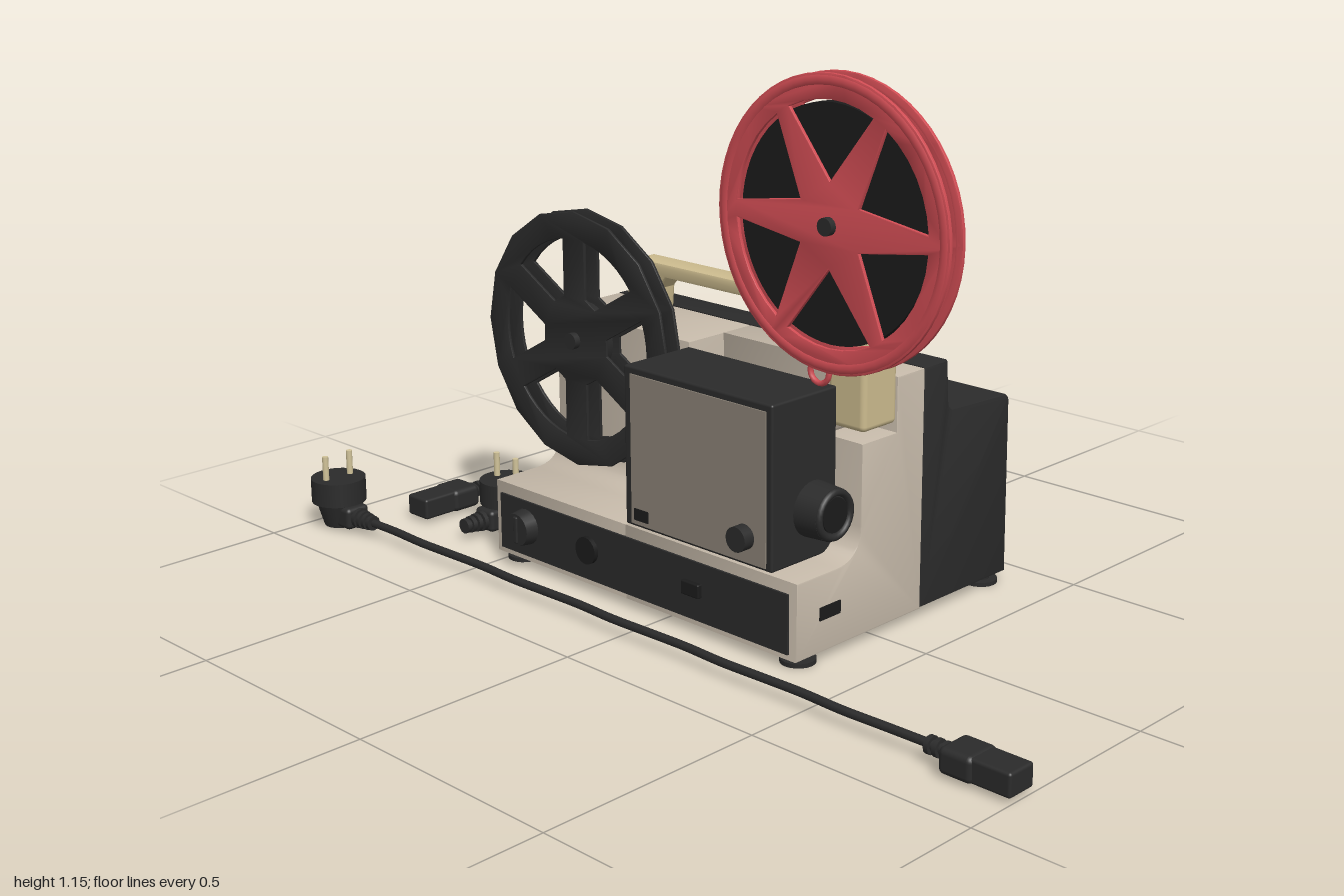
import * as THREE from 'three';
import { toCreasedNormals } from 'three/addons/utils/BufferGeometryUtils.js';
import { RoundedBoxGeometry } from 'three/addons/geometries/RoundedBoxGeometry.js';

const mat = (name, color) => Object.assign(new THREE.MeshStandardMaterial({ color }), { name });
const M = {
  beige: mat('warm grey shell', 0xc4b8a8),
  cream: mat('cream plastic', 0xccbb8e),
  black: mat('black plastic', 0x2b2b2b),
  dark: mat('deep black', 0x1b1b1b),
  red: mat('red plastic', 0xcf4c53),
  taupe: mat('taupe panel', 0x8b8276),
  metal: mat('pin metal', 0xd2c49a),
};

function add(parent, name, geometry, material, x = 0, y = 0, z = 0) {
  const mesh = new THREE.Mesh(geometry, material);
  mesh.name = name;
  mesh.position.set(x, y, z);
  parent.add(mesh);
  return mesh;
}

const box = (w, h, d, r = 0) => r ? new RoundedBoxGeometry(w, h, d, 3, r) : new THREE.BoxGeometry(w, h, d);

// Cylinder lying along the x axis
const cylX = (r0, r1, len, n = 20) => new THREE.CylinderGeometry(r0, r1, len, n).rotateZ(Math.PI / 2);
const cylZ = (r0, r1, len, n = 20) => new THREE.CylinderGeometry(r0, r1, len, n).rotateX(Math.PI / 2);

// Extrude a shape between two depths, with a bevel kept inside the outline
function prism(shape, z0, z1, b = 0.006) {
  const g = new THREE.ExtrudeGeometry(shape, {
    depth: z1 - z0 - 2 * b, bevelEnabled: b > 0, bevelSize: b, bevelThickness: b,
    bevelOffset: -b, bevelSegments: 2, curveSegments: 10,
  });
  g.translate(0, 0, z0 + b);
  return toCreasedNormals(g, 0.6);
}

const poly = pts => new THREE.Shape(pts.map(p => new THREE.Vector2(...p)));
const polar = (r, a) => [r * Math.cos(a), r * Math.sin(a)];

// Disc outline with six window holes between the spokes
function flangeShape(R, n, holeR, valley, spokeHalf, start) {
  const ring = [];
  for (let i = 0; i < n; i++) ring.push(polar(R, (i / n) * Math.PI * 2));
  const shape = poly(ring);
  for (let i = 0; i < 6; i++) {
    const a = start + (i + 0.5) * Math.PI / 3, half = Math.PI / 6 - spokeHalf / holeR;
    const pts = [];
    for (let k = 0; k <= 6; k++) pts.push(polar(holeR, a - half + (k / 6) * 2 * half));
    valley.forEach(([r, da]) => pts.push(polar(r, a + da)));
    shape.holes.push(new THREE.Path(pts.reverse().map(p => new THREE.Vector2(...p))));
  }
  return shape;
}

function buildBody(root) {
  const body = new THREE.Group();
  body.name = 'body';
  root.add(body);

  // Light shell: tall at the rear, notched at the front for the folding arm
  const shell = notched => {
    const s = new THREE.Shape();
    s.moveTo(-0.245, 0.02);
    s.lineTo(0.132, 0.02);
    s.lineTo(0.132, 0.535);
    if (notched) { s.lineTo(0.046, 0.535); s.lineTo(0.046, 0.42); s.lineTo(-0.058, 0.42); }
    else s.lineTo(-0.058, 0.535);
    s.lineTo(-0.058, 0.25);
    s.quadraticCurveTo(-0.06, 0.183, -0.13, 0.183);
    s.lineTo(-0.245, 0.183);
    return s;
  };
  add(body, 'rearShell', prism(shell(false), -0.512, -0.1, 0.004), M.beige);
  add(body, 'frontShell', prism(shell(true), -0.104, 0.377, 0.004), M.beige);
  add(body, 'armRecessFloor', box(0.1, 0.006, 0.38), M.taupe, -0.007, 0.421, 0.09);

  // Black stepped housing
  const h = new THREE.Shape();
  h.moveTo(0.128, 0.022);
  h.lineTo(0.418, 0.022);
  h.lineTo(0.414, 0.405);
  h.quadraticCurveTo(0.413, 0.421, 0.397, 0.422);
  h.lineTo(0.225, 0.43);
  h.quadraticCurveTo(0.211, 0.432, 0.21, 0.45);
  h.lineTo(0.204, 0.537);
  h.lineTo(0.128, 0.537);
  add(body, 'sideHousing', prism(h, -0.514, 0.379, 0.008), M.black);
  add(body, 'bottomPlate', box(0.62, 0.005, 0.84), M.beige, 0.085, 0.0205, -0.068);

  // Hatch, latch and power socket on the housing
  add(body, 'serviceHatch', box(0.005, 0.33, 0.2), M.black, 0.4175, 0.2, -0.07);
  add(body, 'latchPlate', box(0.005, 0.065, 0.13), M.black, 0.4175, 0.115, 0.185);
  add(body, 'socketPlate', box(0.006, 0.06, 0.095), M.dark, 0.418, 0.12, -0.34);
  add(body, 'socketCore', box(0.008, 0.035, 0.05, 0.003), M.black, 0.42, 0.12, -0.335);
  for (const dz of [-0.012, 0.012]) add(body, 'socketPin', cylX(0.004, 0.004, 0.008, 8), M.metal, 0.422, 0.12, -0.335 + dz);

  // Feet
  for (const x of [-0.2, 0.38]) for (const z of [-0.475, 0.34]) {
    add(body, 'footPad', new THREE.CylinderGeometry(0.037, 0.037, 0.009, 20), M.black, x, 0.0045, z);
    add(body, 'footStem', new THREE.CylinderGeometry(0.02, 0.02, 0.016, 16), M.black, x, 0.016, z);
  }
  add(body, 'frontSlot', box(0.06, 0.027, 0.006), M.dark, -0.15, 0.102, 0.377);

  // Control strip with knobs
  add(body, 'controlStrip', box(0.008, 0.125, 0.85), M.black, -0.246, 0.095, -0.068);
  add(body, 'mainKnob', cylX(0.036, 0.04, 0.03), M.black, -0.264, 0.1, -0.41);
  add(body, 'knobGrip', box(0.012, 0.06, 0.012, 0.003), M.black, -0.277, 0.1, -0.41);
  add(body, 'speedDial', cylX(0.03, 0.03, 0.012), M.dark, -0.254, 0.1, -0.21);
  add(body, 'smallSwitch', box(0.014, 0.03, 0.05, 0.003), M.dark, -0.254, 0.1, 0.1);
}

function buildLensHousing(root) {
  const g = new THREE.Group();
  g.name = 'lensHousing';
  root.add(g);
  add(g, 'lensBox', box(0.186, 0.34, 0.41, 0.005), M.black, -0.151, 0.356, 0.105);
  add(g, 'sidePanel', box(0.006, 0.318, 0.375), M.taupe, -0.244, 0.352, 0.108);
  add(g, 'panelNotch', box(0.008, 0.025, 0.04), M.dark, -0.245, 0.215, -0.05);
  add(g, 'focusKnob', cylX(0.026, 0.026, 0.03), M.black, -0.258, 0.246, 0.24);
  add(g, 'lensBarrel', cylZ(0.054, 0.058, 0.06, 28), M.black, -0.126, 0.29, 0.335);
  add(g, 'lensRing', new THREE.TorusGeometry(0.046, 0.008, 8, 28), M.black, -0.126, 0.29, 0.366);
  add(g, 'lensGlass', cylZ(0.036, 0.036, 0.005, 24), M.dark, -0.126, 0.29, 0.366);
}

function buildCreamParts(root) {
  add(root, 'reelArm', box(0.102, 0.47, 0.095, 0.012), M.cream, -0.005, 0.675, 0.33);
  // Carrying handle: bridge with two flared legs, drawn with -z to the right
  const s = poly([[-0.265, 0.533], [-0.258, 0.62], [-0.225, 0.65], [0.375, 0.65], [0.405, 0.62],
    [0.412, 0.533], [0.32, 0.533], [0.315, 0.59], [0.29, 0.618], [-0.14, 0.618], [-0.17, 0.59], [-0.175, 0.533]]);
  add(root, 'handle', prism(s, 0.058, 0.116, 0.007).rotateY(Math.PI / 2), M.cream);
}

function buildReel(root, name, y, z, material, shape, thickness) {
  const g = new THREE.Group();
  g.name = name;
  g.position.set(-0.093, y, z);
  root.add(g);
  const geo = prism(shape, -thickness / 2, thickness / 2, 0.0025).rotateY(Math.PI / 2);
  for (const x of [-0.019, 0.019]) add(g, 'flange', geo, material, x);
  add(g, 'spindle', cylX(0.018, 0.018, 0.085, 16), M.black, 0.005);
  add(g, 'spindleCap', cylX(0.026, 0.026, 0.012, 12), M.black, 0.032);
  return g;
}

function buildReels(root) {
  const red = buildReel(root, 'feedReel', 0.857, 0.335, M.red,
    flangeShape(0.29, 56, 0.24, [[0.085, 0]], 0.018, 0), 0.009);
  add(red, 'filmRoll', cylX(0.234, 0.234, 0.028, 56), M.dark);
  for (const x of [-0.02, 0.02]) {
    const rim = add(red, 'raisedRim', new THREE.TorusGeometry(0.276, 0.012, 8, 56).scale(1, 1, 0.5), M.red, x);
    rim.rotation.y = Math.PI / 2;
  }
  const clip = add(red, 'filmClip', new THREE.TorusGeometry(0.024, 0.006, 8, 20), M.red, 0, -0.298, -0.04);
  clip.rotation.y = Math.PI / 2;

  const rear = buildReel(root, 'takeUpReel', 0.495, -0.39, M.black,
    flangeShape(0.283, 16, 0.222, [[0.1, 0.18], [0.1, -0.18]], 0.034, Math.PI / 6), 0.008);
  add(rear, 'reelHub', cylX(0.08, 0.08, 0.036, 24), M.black);
}

// Mains plug, pins up, ribbed strain relief toward local +z
function makePlug(name) {
  const g = new THREE.Group();
  g.name = name;
  add(g, 'plugDisc', new THREE.CylinderGeometry(0.062, 0.062, 0.055, 24), M.black, 0, 0.088, 0);
  add(g, 'plugNeck', new THREE.CylinderGeometry(0.055, 0.038, 0.058, 20), M.black, 0, 0.034, 0.004);
  add(g, 'plugElbow', box(0.06, 0.05, 0.075, 0.01), M.black, 0, 0.034, 0.035);
  for (let i = 0; i < 4; i++) add(g, 'strainRib', cylZ(0.023 - i * 0.002, 0.023 - i * 0.002, 0.01, 12), M.black, 0, 0.034, 0.078 + i * 0.015);
  add(g, 'strainCore', cylZ(0.013, 0.013, 0.06, 12), M.black, 0, 0.034, 0.095);
  for (const x of [-0.033, 0.033]) add(g, 'plugPin', new THREE.CylinderGeometry(0.007, 0.007, 0.056, 12), M.metal, x, 0.143, 0);
  return g;
}

// Appliance connector, body toward local +z
function makeConnector(name) {
  const g = new THREE.Group();
  g.name = name;
  add(g, 'connectorHead', box(0.068, 0.048, 0.09, 0.006), M.black, 0, 0.034, 0.06);
  add(g, 'connectorGrip', box(0.08, 0.052, 0.075, 0.012), M.black, 0, 0.034, -0.012);
  for (let i = 0; i < 3; i++) add(g, 'connectorRib', cylZ(0.018, 0.018, 0.01, 12), M.black, 0, 0.034, -0.057 - i * 0.018);
  add(g, 'connectorCore', cylZ(0.011, 0.011, 0.06, 12), M.black, 0, 0.034, -0.073);
  return g;
}

function buildCables(root) {
  const cable = new THREE.Group();
  cable.name = 'powerCable';
  root.add(cable);
  const pts = [];
  for (let i = 0; i <= 16; i++) pts.push(new THREE.Vector3(-0.36 + 0.0025 * Math.sin(i * 2.1), 0.034, -0.84 + i * 0.1025));
  add(cable, 'cord', new THREE.TubeGeometry(new THREE.CatmullRomCurve3(pts), 64, 0.009, 8), M.black);
  const plug = makePlug('cablePlug');
  plug.position.set(-0.36, 0, -0.938);
  const end = makeConnector('cableConnector');
  end.position.set(-0.36, 0, 0.895);
  cable.add(plug, end);

  // Loose plug and connector behind the machine
  const plug2 = makePlug('loosePlug');
  plug2.position.set(-0.103, 0, -0.648);
  plug2.rotation.y = -Math.PI / 2;
  const end2 = makeConnector('looseConnector');
  end2.position.set(-0.12, 0, -0.825);
  end2.rotation.y = -Math.PI / 2;
  root.add(plug2, end2);
}

export function createModel() {
  const root = new THREE.Group();
  root.name = 'filmProjector';
  buildBody(root);
  buildLensHousing(root);
  buildCreamParts(root);
  buildReels(root);
  buildCables(root);
  return root;
}
